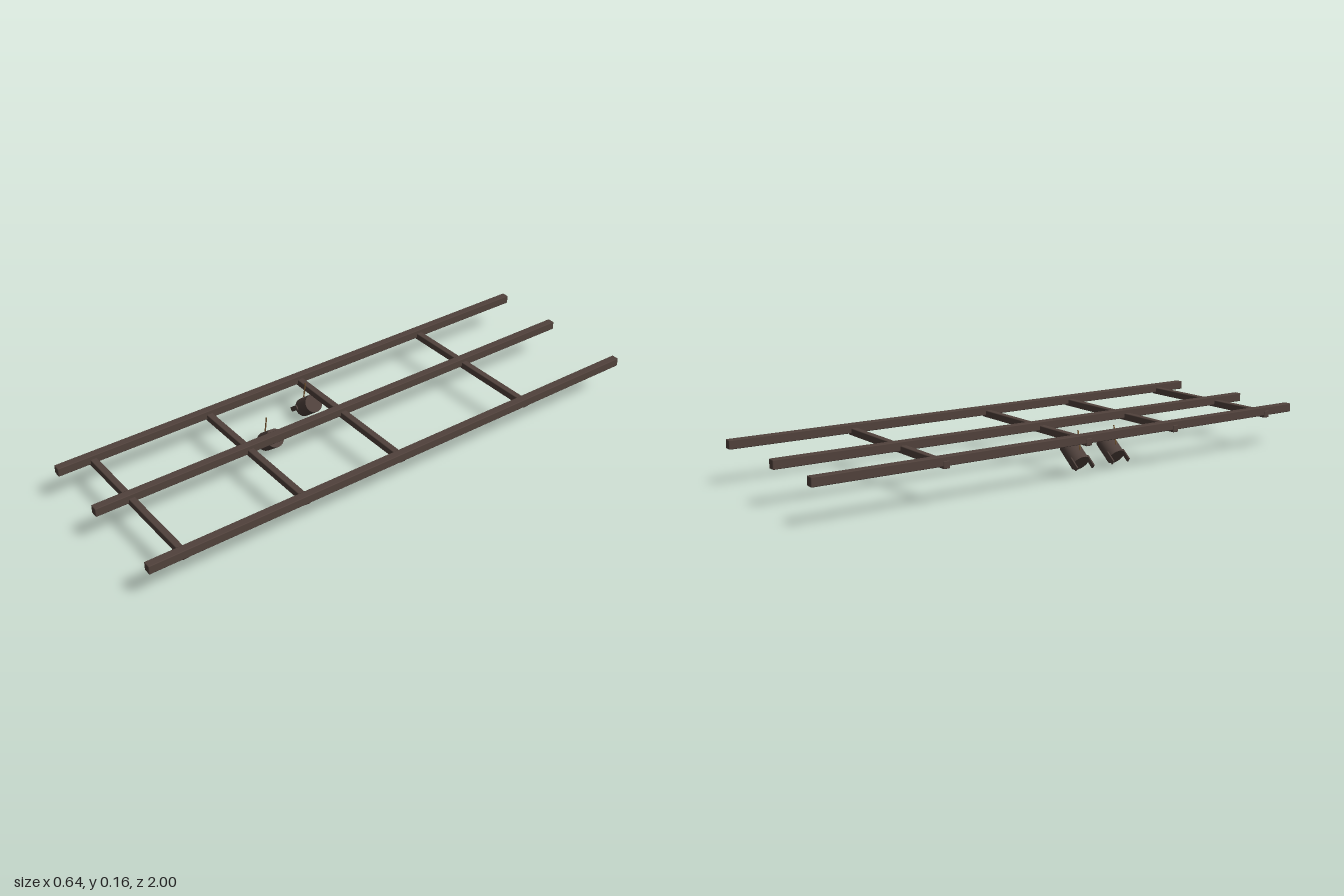
import * as THREE from 'three';
import { RoundedBoxGeometry } from 'three/addons/geometries/RoundedBoxGeometry.js';

const beamPaint = new THREE.MeshStandardMaterial({ color: 0x50413b });
beamPaint.name = 'dark brown beam';
const lampPaint = new THREE.MeshStandardMaterial({ color: 0x4e403b });
lampPaint.name = 'dark brown lamp';
const brass = new THREE.MeshStandardMaterial({ color: 0x7a5a34 });
brass.name = 'brass';

function add(parent, name, geometry, material, x, y, z) {
  const mesh = new THREE.Mesh(geometry, material);
  mesh.name = name;
  mesh.position.set(x, y, z);
  parent.add(mesh);
  return mesh;
}

// Spotlight can tilted down to the model's right, on a thin hanging rod
function spotlight(x, y, z) {
  const light = new THREE.Group();
  light.name = 'spotlight';
  light.position.set(x, y, z);

  const head = new THREE.Group();
  head.name = 'lampHead';
  head.rotation.z = THREE.MathUtils.degToRad(38);
  light.add(head);

  // Can, with its axis along the head's local x
  const can = add(head, 'can', new THREE.CylinderGeometry(0.034, 0.034, 0.084, 32), lampPaint, 0, 0, 0);
  can.rotation.z = -Math.PI / 2;

  // Flat flaps reaching past the open end on both sides
  for (const side of [-1, 1]) {
    add(head, 'sideFlap', new RoundedBoxGeometry(0.048, 0.018, 0.006, 1, 0.002), lampPaint,
      -0.047, 0.008, side * 0.0355);
  }

  // Hanging rod, leaning slightly
  const bottom = new THREE.Vector3(-0.031, 0.02, 0);
  const top = new THREE.Vector3(-0.018, 0.088, 0);
  const path = new THREE.LineCurve3(bottom, top);
  add(light, 'hangingRod', new THREE.TubeGeometry(path, 1, 0.0025, 8), brass, 0, 0, 0);
  return light;
}

export function createModel() {
  const model = new THREE.Group();
  model.name = 'ceilingTrussWithSpotlights';

  // Long rails running front to back
  for (const x of [-0.305, -0.0385, 0.306]) {
    add(model, 'longRail', new RoundedBoxGeometry(0.029, 0.032, 2, 1, 0.003), beamPaint, x, 0.152, 0);
  }

  // Cross bars set slightly lower than the rails
  for (const z of [-0.537, 0.027, 0.416, 0.87]) {
    add(model, 'crossBar', new RoundedBoxGeometry(0.636, 0.026, 0.024, 1, 0.003), beamPaint, -0.004, 0.141, z);
  }

  model.add(spotlight(-0.148, 0.058, 0.26));
  model.add(spotlight(-0.223, 0.0795, 0.04));
  return model;
}
